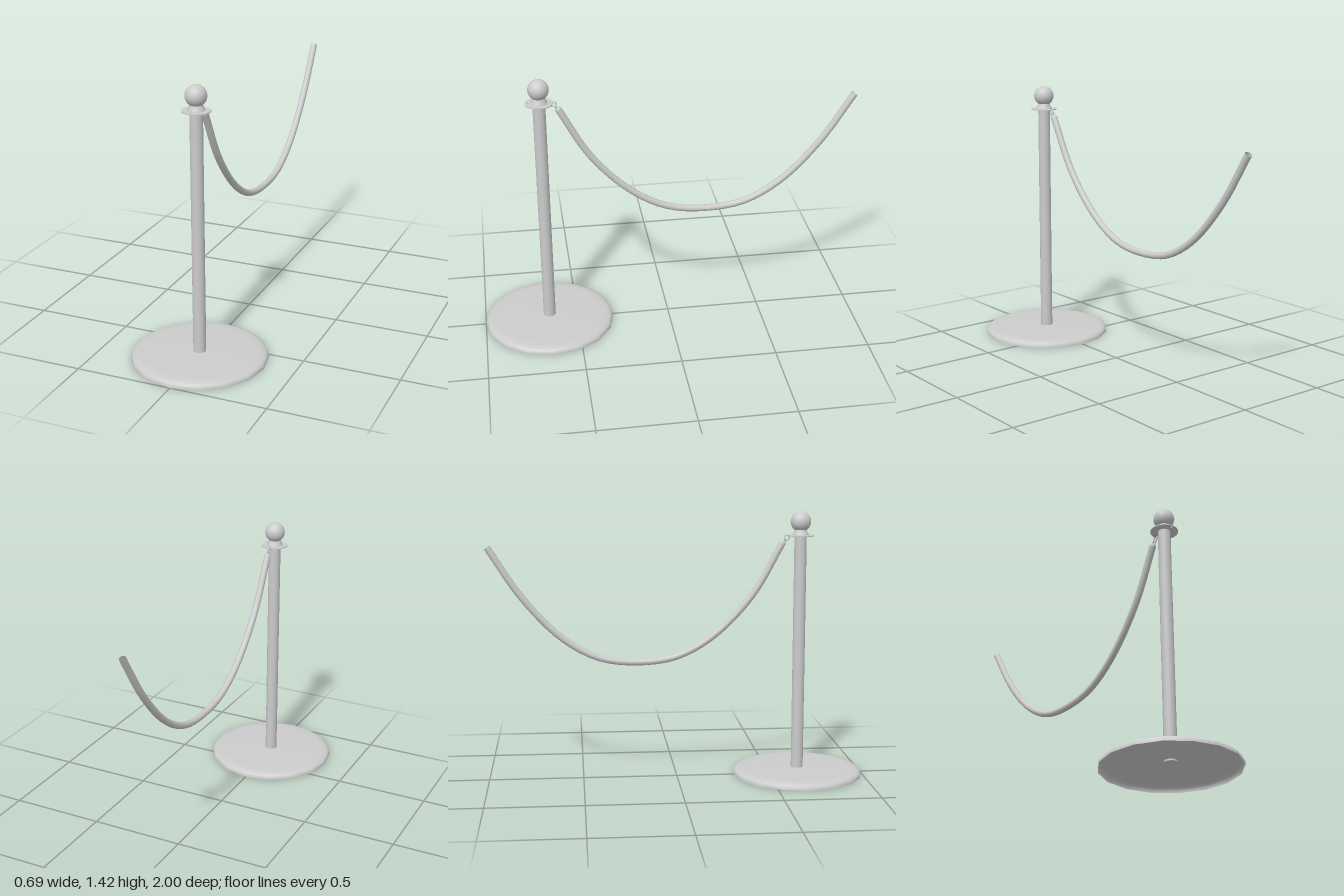
import * as THREE from 'three';

const POST_Z = 0.653;

export function createModel() {
  const model = new THREE.Group();
  const material = new THREE.MeshStandardMaterial({ color: 0xcccccc, side: THREE.DoubleSide });
  const add = (name, geometry, x, y, z) => {
    const mesh = new THREE.Mesh(geometry, material);
    mesh.name = name;
    mesh.position.set(x, y, z);
    model.add(mesh);
    return mesh;
  };
  const lathe = (points, sides) =>
    new THREE.LatheGeometry(points.map(([r, y]) => new THREE.Vector2(r, y)), sides);

  // Hollow base shell: round on top, its lower wall pulled in to 16 flat sides
  const base = lathe([[0.347, 0], [0.346, 0.012], [0.339, 0.022], [0.325, 0.03],
    [0.3, 0.034], [0.26, 0.036], [0, 0.036]], 32);
  const corners = base.attributes.position;
  for (let i = 0; i < corners.count; i++) {
    const step = Math.round(Math.atan2(corners.getX(i), corners.getZ(i)) / (Math.PI / 16));
    if (corners.getY(i) < 0.02 && step % 2 !== 0) {
      const pull = Math.cos(Math.PI / 16);
      corners.setX(i, corners.getX(i) * pull);
      corners.setZ(i, corners.getZ(i) * pull);
    }
  }
  add('base', base, 0, 0, POST_Z);

  // Upright post, its foot just showing under the base
  add('post', new THREE.CylinderGeometry(0.0325, 0.0325, 1.26, 20), 0, 0.658, POST_Z);

  // Thin collar with hook holes at front and back
  const collar = new THREE.Shape().absarc(0, 0, 0.071, 0, Math.PI * 2);
  for (const side of [-1, 1]) {
    collar.holes.push(new THREE.Path().absarc(0, side * 0.059, 0.006, 0, Math.PI * 2, true));
  }
  const collarGeometry = new THREE.ExtrudeGeometry(collar,
    { depth: 0.005, bevelEnabled: false, curveSegments: 16 });
  add('collar', collarGeometry.rotateX(-Math.PI / 2), 0, 1.286, POST_Z);

  // Neck and ball finial
  add('neck', lathe([[0.044, 0], [0.042, 0.008], [0.035, 0.018], [0.031, 0.034]], 20), 0, 1.29, POST_Z);
  add('finial', new THREE.SphereGeometry(0.054, 20, 14), 0, 1.362, POST_Z);

  // Hook ring through the collar edge, and the eye on the rope end
  add('hookRing', new THREE.TorusGeometry(0.013, 0.0035, 6, 14), 0, 1.279, 0.58).rotation.y = Math.PI / 2;
  add('ropeEye', new THREE.TorusGeometry(0.009, 0.003, 6, 12), 0, 1.265, 0.569);

  // Sagging rope with an open free end
  const path = new THREE.CatmullRomCurve3([
    [0.557, 1.25], [0.4, 0.976], [0.195, 0.762], [0, 0.653], [-0.21, 0.625],
    [-0.415, 0.653], [-0.607, 0.762], [-0.81, 0.976], [-0.983, 1.238],
  ].map(([z, y]) => new THREE.Vector3(0, y, z)));
  const radius = 0.018;
  add('rope', new THREE.TubeGeometry(path, 40, radius, 12), 0, 0, 0);

  // Tapered ferrule at the hook end of the rope
  const start = path.getPoint(0);
  const ferrule = add('ropeFerrule',
    lathe([[radius, -0.004], [radius, 0.003], [0.012, 0.011], [0, 0.014]], 12), 0, start.y, start.z);
  ferrule.quaternion.setFromUnitVectors(new THREE.Vector3(0, 1, 0), path.getTangent(0).negate());

  return model;
}
